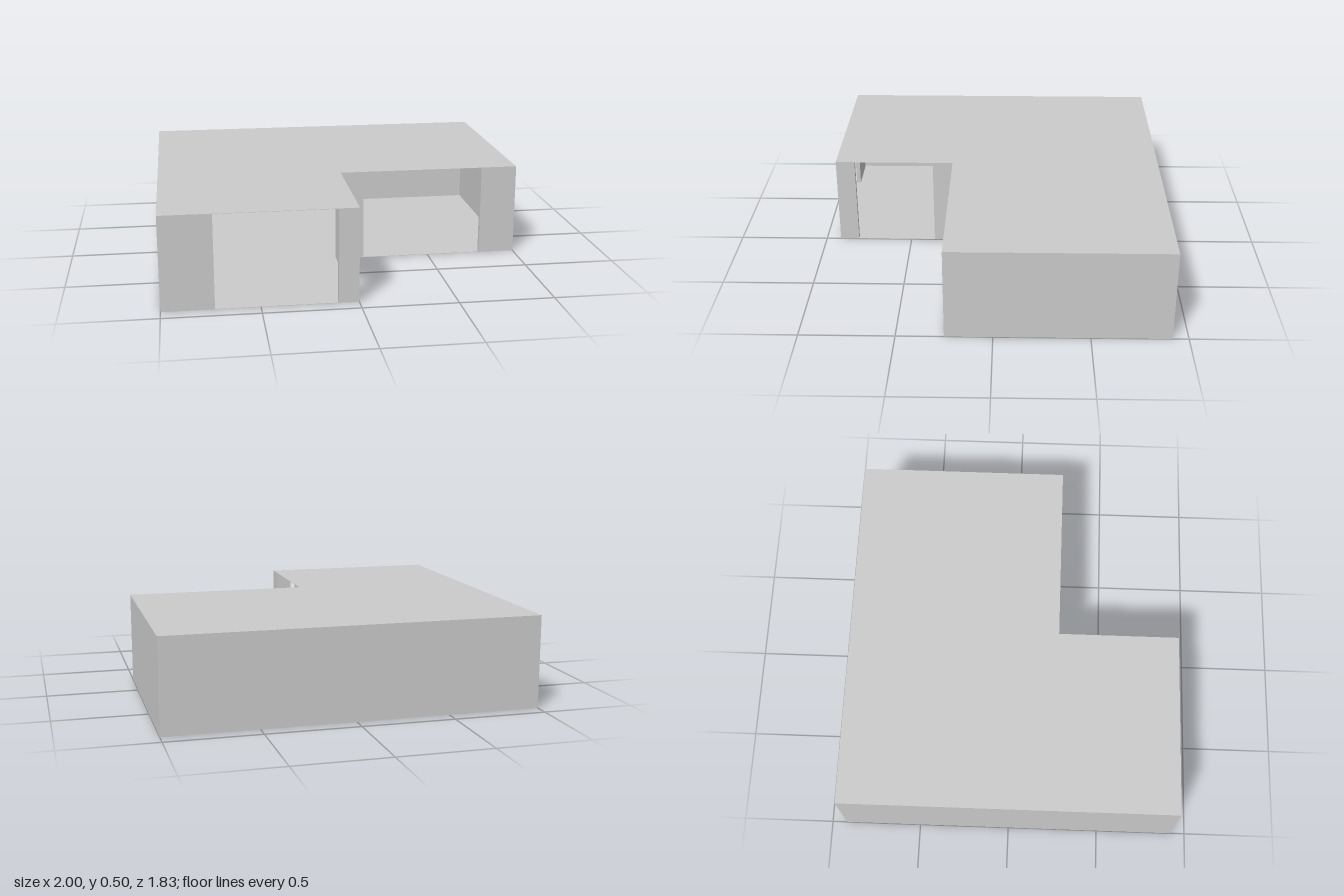
import * as THREE from 'three';

const H = 0.5, T = 0.025, SLAB = 0.002, D = 0.917, NZ = 0.25;

export function createModel() {
  const group = new THREE.Group();
  const material = new THREE.MeshStandardMaterial({ color: 0xcccccc, flatShading: true, side: THREE.DoubleSide });

  // L-shaped plan, drawn with y = -z
  const plan = new THREE.Shape([
    [-1, -D], [0, -D], [0, -NZ], [1, -NZ], [1, D], [-1, D],
  ].map(([x, y]) => new THREE.Vector2(x, y)));

  function slab(name, y) {
    const geometry = new THREE.ExtrudeGeometry(plan, { depth: SLAB, bevelEnabled: false });
    geometry.rotateX(-Math.PI / 2);
    const mesh = new THREE.Mesh(geometry, material);
    mesh.name = name;
    mesh.position.y = y;
    group.add(mesh);
  }

  // Wall segment filling a rectangle of the plan, from floor to roof
  function wall(name, x0, x1, z0, z1) {
    const h = H - 2 * SLAB;
    const mesh = new THREE.Mesh(new THREE.BoxGeometry(x1 - x0, h, z1 - z0), material);
    mesh.name = name;
    mesh.position.set((x0 + x1) / 2, H / 2, (z0 + z1) / 2);
    group.add(mesh);
  }

  slab('floor', 0);
  slab('roof', H - SLAB);

  // Closed outer walls
  wall('backWall', -1, 1, -D, -D + T);
  wall('rightWall', -1, -1 + T, -D + T, D);
  wall('leftWall', 1 - T, 1, -D + T, NZ);

  // Wing front, with a full-height opening
  wall('wingFrontWallRight', -1 + T, -0.73, D - T, D);
  wall('wingFrontWallLeft', -0.106, 0, D - T, D);

  // Wing side, with a full-height opening
  wall('wingSideWallFront', -T, 0, 0.81, D - T);
  wall('wingSideWallBack', -T, 0, NZ - T, 0.363);

  // Main front, with a full-height opening
  wall('mainFrontWallRight', 0, 0.13, NZ - T, NZ);
  wall('mainFrontWallLeft', 0.8, 1 - T, NZ - T, NZ);

  return group;
}
